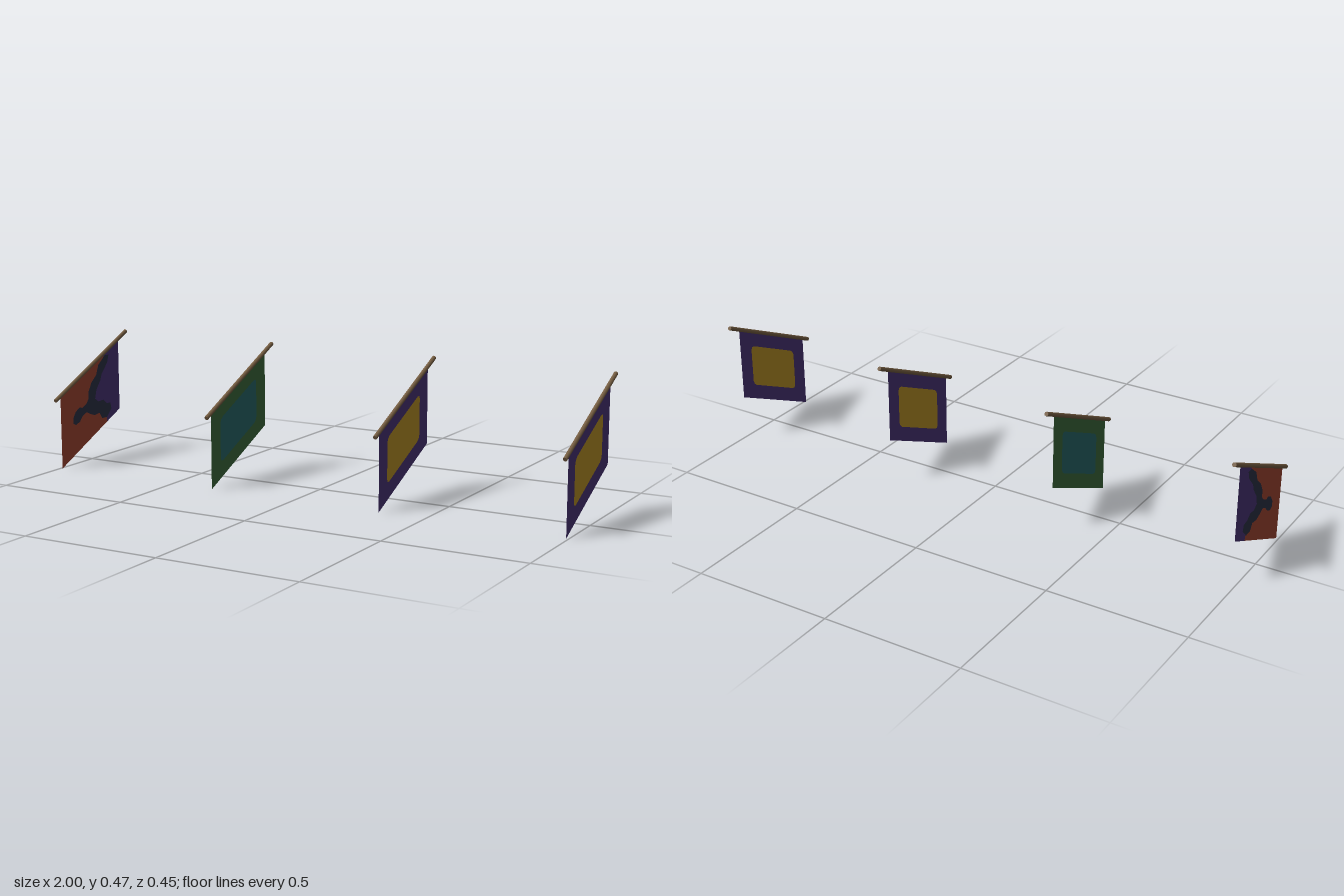
import * as THREE from 'three';

const W = 0.36, H = 0.27;               // cloth width and drop
const SLOPE = Math.tan(25 * Math.PI / 180);
const SPAN = 0.992;                     // x of the outermost banners

const mat = (name, color) => {
  const m = new THREE.MeshStandardMaterial({ color, side: THREE.DoubleSide });
  m.name = name;
  return m;
};

// Points are (distance from the low end, height above the lower hem); the hem rises with the rod
const sheared = pts => pts.map(([u, v]) => new THREE.Vector2(u, v + u * SLOPE));

// Outline of the inner panel with clipped corners
function panelPoints() {
  const [l, r, b, t, c] = [0.06, 0.3, 0.056, 0.214, 0.016];
  const k = c * 0.3;
  return [
    [l + c, b], [r - c, b], [r - k, b + k], [r, b + c], [r, t - c], [r - k, t - k],
    [r - c, t], [l + c, t], [l + k, t - k], [l, t - c], [l, b + c], [l + k, b + k],
  ];
}

export function createModel() {
  const wood = mat('wood', 0x765e42);
  const purple = mat('purple cloth', 0x483276);
  const gold = mat('gold cloth', 0xb68e25);
  const green = mat('green cloth', 0x3a683a);
  const teal = mat('teal cloth', 0x266667);
  const red = mat('red cloth', 0x9e4531);
  const slate = mat('slate cloth', 0x2b3044);

  const root = new THREE.Group();
  root.name = 'hangingBanners';

  // Flat cloth piece in the u-v plane, turned to hang along z
  const cloth = (name, points, material, hole) => {
    const shape = new THREE.Shape(sheared(points));
    if (hole) shape.holes.push(new THREE.Path(sheared(hole)));
    const mesh = new THREE.Mesh(new THREE.ShapeGeometry(shape), material);
    mesh.name = name;
    mesh.rotation.y = Math.PI / 2;
    mesh.position.z = 0.19;
    return mesh;
  };

  const rodGeometry = new THREE.CylinderGeometry(0.0075, 0.0075, 0.485, 8);
  const makeBanner = (name, x) => {
    const banner = new THREE.Group();
    banner.name = name;
    banner.position.x = x;
    const rod = new THREE.Mesh(rodGeometry, wood);
    rod.name = 'rod';
    rod.rotation.x = -65 * Math.PI / 180;
    rod.position.y = 0.362;
    banner.add(rod);
    root.add(banner);
    return banner;
  };

  // Banners with a bordered inner panel
  const border = [[0, 0], [W, 0], [W, H], [0, H]];
  [
    ['goldBannerOuter', SPAN, purple, gold],
    ['goldBannerInner', SPAN / 3, purple, gold],
    ['tealBanner', -SPAN / 3, green, teal],
  ].forEach(([name, x, edge, centre]) => {
    makeBanner(name, x).add(
      cloth('clothBorder', border, edge, panelPoints()),
      cloth('clothPanel', panelPoints(), centre),
    );
  });

  // Divided banner: red field, purple field, and a forked device on the seam
  const divided = makeBanner('dividedBanner', -SPAN);
  const seam = [[0.28, 0], [0.27, 0.05], [0.2, 0.115], [0.2, 0.155], [0.25, 0.23], [0.27, H]];
  divided.add(
    cloth('redField', [[0, 0], ...seam, [0, H]], red),
    cloth('purpleField', [[W, 0], [W, H], ...[...seam].reverse()], purple),
  );
  const fork = [
    [0.07, 0.125], [0.085, 0.11], [0.11, 0.108], [0.125, 0.118], [0.15, 0.118],
    [0.175, 0.095], [0.2, 0.075], [0.23, 0.065], [0.245, 0.035], [0.275, 0.02],
    [0.305, 0.035], [0.3, 0.06], [0.275, 0.075], [0.255, 0.1], [0.225, 0.112],
    [0.205, 0.135], [0.215, 0.165], [0.24, 0.185], [0.25, 0.205], [0.285, 0.225],
    [0.295, 0.25], [0.27, 0.262], [0.23, 0.25], [0.215, 0.22], [0.185, 0.21],
    [0.165, 0.185], [0.165, 0.16], [0.15, 0.15], [0.125, 0.15], [0.11, 0.162],
    [0.085, 0.16], [0.07, 0.145],
  ];
  // Same device on both faces of the cloth
  for (const side of [-1, 1]) {
    const device = cloth('forkedDevice', fork, slate);
    device.position.x = side * 0.002;
    divided.add(device);
  }

  return root;
}
